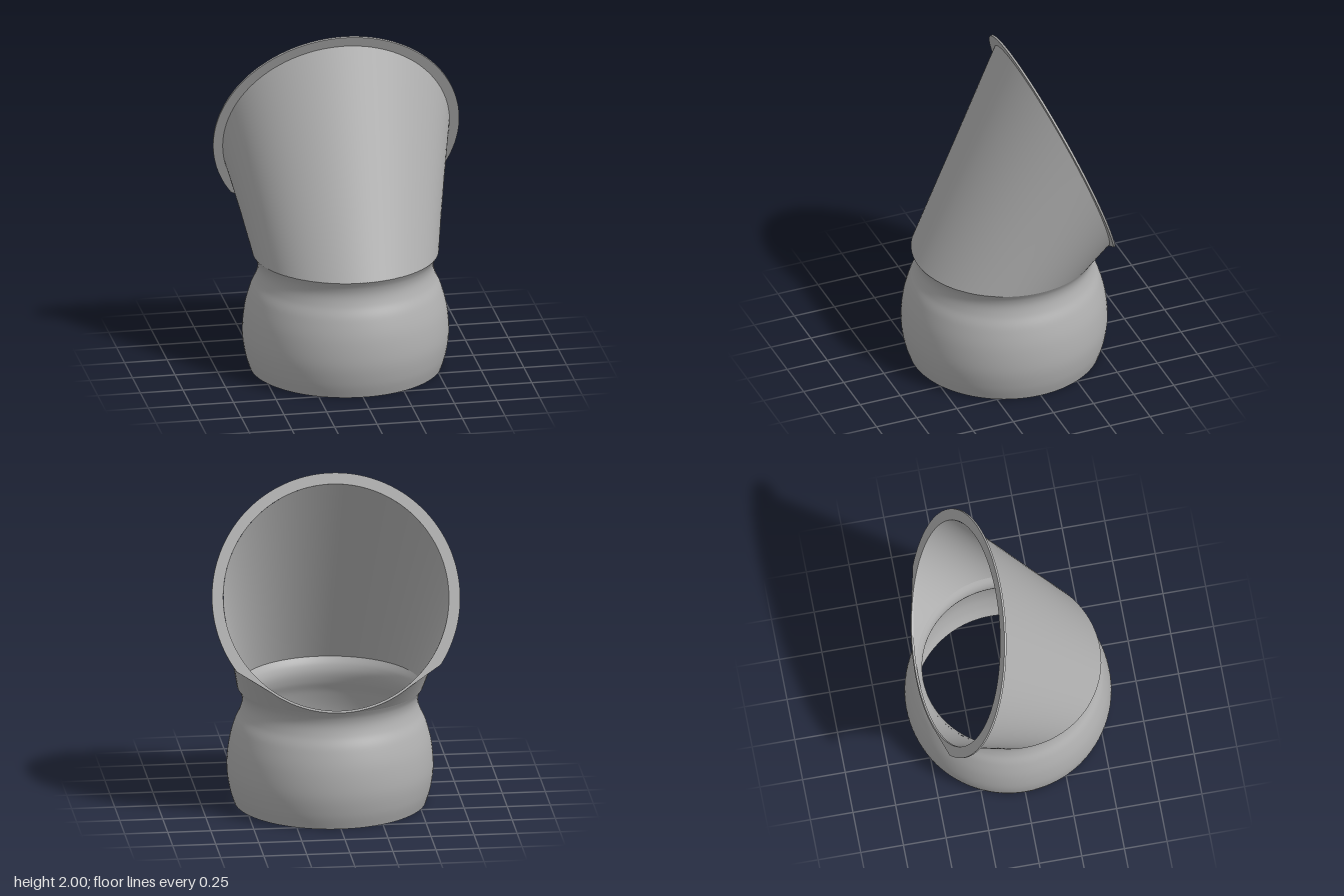
import * as THREE from 'three';
import { ParametricGeometry } from 'three/addons/geometries/ParametricGeometry.js';

const TILT = 0.36;                 // lean of the opening plane
const MOUTH = { y: 1.325, z: -0.306, r: 0.667 };
const BASE = { y: 0.697, r: 0.538 };
const WALL = 0.012;

// Ruled wall from the round base to the tilted round mouth
function funnelWall(inset, inward) {
  const rm = MOUTH.r - inset, rb = BASE.r - inset;
  const a = new THREE.Vector3(), b = new THREE.Vector3();
  return new ParametricGeometry((u, v, target) => {
    const t = (inward ? -u : u) * Math.PI * 2;
    const s = Math.sin(t), c = Math.cos(t);
    a.set(rb * s, BASE.y, rb * c);
    b.set(rm * s, MOUTH.y + rm * c * Math.cos(TILT), MOUTH.z + rm * c * Math.sin(TILT));
    target.copy(a).lerp(b, v);
  }, 96, 16);
}

export function createModel() {
  const group = new THREE.Group();
  const grey = new THREE.MeshStandardMaterial({ color: 0xb0b0b0 });
  grey.name = 'grey';
  const add = (name, geometry) => {
    const mesh = new THREE.Mesh(geometry, grey);
    mesh.name = name;
    group.add(mesh);
    return mesh;
  };

  // Bulging collar with a narrow neck
  const profile = new THREE.SplineCurve([
    [0.555, 0], [0.582, 0.09], [0.597, 0.21], [0.586, 0.35], [0.555, 0.47],
    [0.522, 0.545], [0.508, 0.605], [0.515, 0.655], [0.538, 0.698],
  ].map(([x, y]) => new THREE.Vector2(x, y))).getPoints(48);
  const inside = profile.map(p => new THREE.Vector2(p.x - WALL, p.y)).reverse();
  add('collarOuter', new THREE.LatheGeometry(profile, 96));
  add('collarInner', new THREE.LatheGeometry(inside, 96));
  add('collarBottomEdge', new THREE.RingGeometry(0.555 - WALL, 0.555, 96).rotateX(Math.PI / 2));

  // Funnel
  add('funnelOuter', funnelWall(0, false));
  add('funnelInner', funnelWall(WALL, true));

  // Flange around the mouth, cut back to a thin lip at the bottom
  const cut = THREE.MathUtils.degToRad(-34.7), lip = THREE.MathUtils.degToRad(-53.5);
  const shape = new THREE.Shape();
  shape.absarc(0, 0, 0.72, cut, Math.PI - cut, false);
  shape.absarc(0, 0, MOUTH.r + 0.001, Math.PI - lip, Math.PI * 2 + lip, false);
  shape.closePath();
  const hole = new THREE.Path();
  hole.absarc(0, 0, MOUTH.r - WALL, 0, Math.PI * 2, true);
  shape.holes.push(hole);
  const flange = add('flange', new THREE.ExtrudeGeometry(shape, {
    depth: 0.012, bevelEnabled: false, curveSegments: 96,
  }));
  flange.rotation.x = TILT;
  flange.position.set(0, MOUTH.y, MOUTH.z);

  return group;
}
